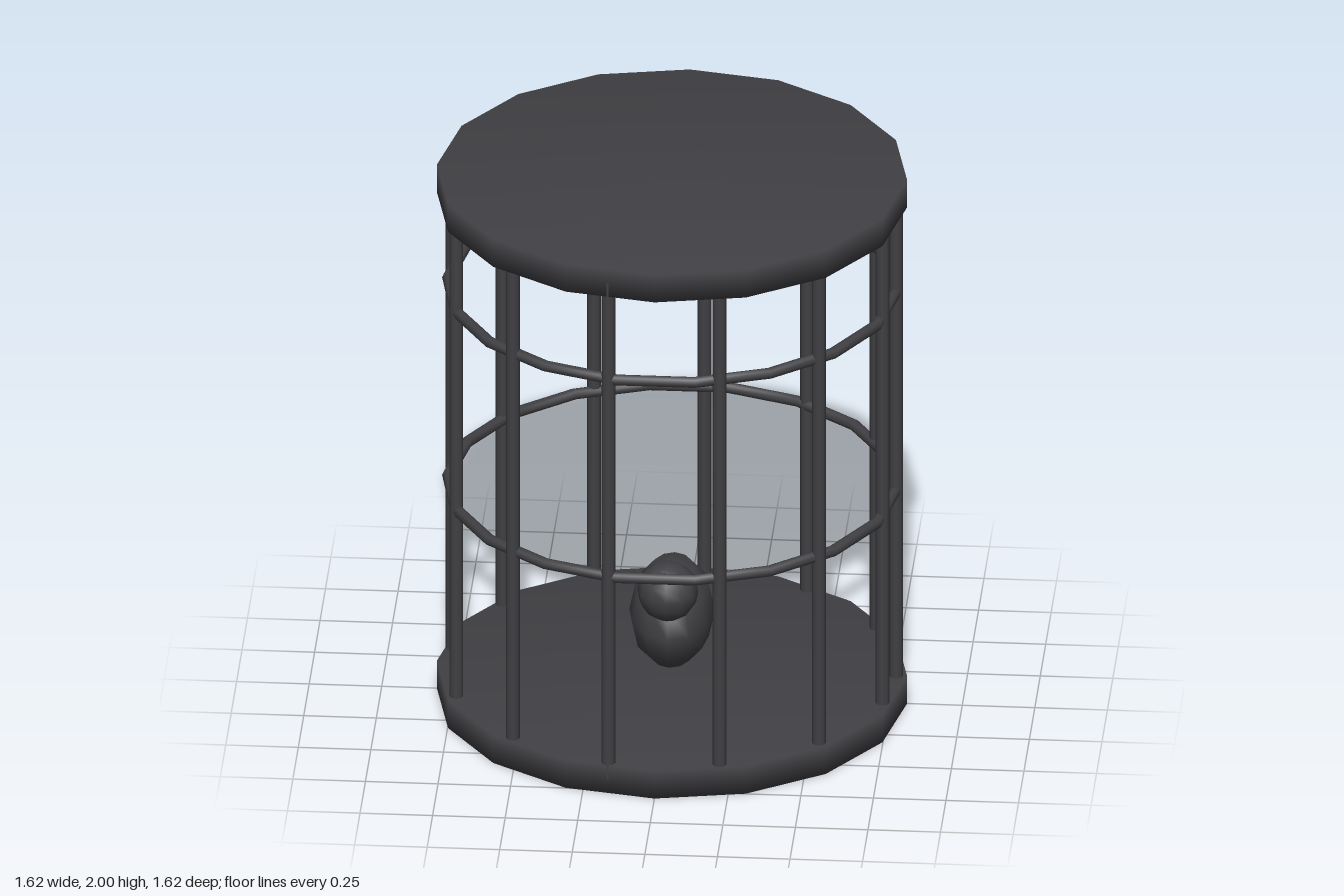
import * as THREE from 'three';
import { mergeVertices } from 'three/addons/utils/BufferGeometryUtils.js';

const HEIGHT = 2;
const PLATE_RADIUS = 0.81;
const PLATE_THICKNESS = 0.105;
const CAGE_RADIUS = 0.772;

export function createModel() {
  const model = new THREE.Group();
  model.name = 'birdCage';
  const iron = new THREE.MeshStandardMaterial({ color: 0x404044 });

  function add(name, geometry, x, y, z, parent = model) {
    const mesh = new THREE.Mesh(geometry, iron);
    mesh.name = name;
    mesh.position.set(x, y, z);
    parent.add(mesh);
    return mesh;
  }

  // Weld the rim so that the shading runs softly over its edge
  function softCylinder(radius, height, sides) {
    const geometry = new THREE.CylinderGeometry(radius, radius, height, sides);
    geometry.deleteAttribute('normal');
    geometry.deleteAttribute('uv');
    const welded = mergeVertices(geometry);
    welded.computeVertexNormals();
    return welded;
  }

  // Floor and roof plates
  const plate = softCylinder(PLATE_RADIUS, PLATE_THICKNESS, 16);
  add('floorPlate', plate, 0, PLATE_THICKNESS / 2, 0);
  add('roofPlate', plate, 0, HEIGHT - PLATE_THICKNESS / 2, 0);

  // Upright bars, half a radian apart, which leaves one narrow gap
  const bars = new THREE.Group();
  bars.name = 'bars';
  model.add(bars);
  const bar = new THREE.CylinderGeometry(0.024, 0.024, HEIGHT - PLATE_THICKNESS, 8);
  for (let i = 0; i < 13; i++) {
    const angle = i * 0.5;
    add('bar', bar, CAGE_RADIUS * Math.cos(angle), HEIGHT / 2, -CAGE_RADIUS * Math.sin(angle), bars);
  }

  // Horizontal hoops
  const hoop = new THREE.TorusGeometry(CAGE_RADIUS, 0.02, 8, 18);
  hoop.rotateX(Math.PI / 2);
  add('lowerHoop', hoop, 0, 0.815, 0);
  add('upperHoop', hoop, 0, 1.57, 0);

  // Bird: egg-shaped body with a round head towards the front
  const bird = new THREE.Group();
  bird.name = 'bird';
  model.add(bird);
  const ball = new THREE.SphereGeometry(1, 12, 6);
  add('birdBody', ball, 0, 0.328, 0, bird).scale.set(0.147, 0.187, 0.243);
  add('birdHead', new THREE.SphereGeometry(0.105, 12, 8), 0, 0.493, 0.19, bird);

  return model;
}
